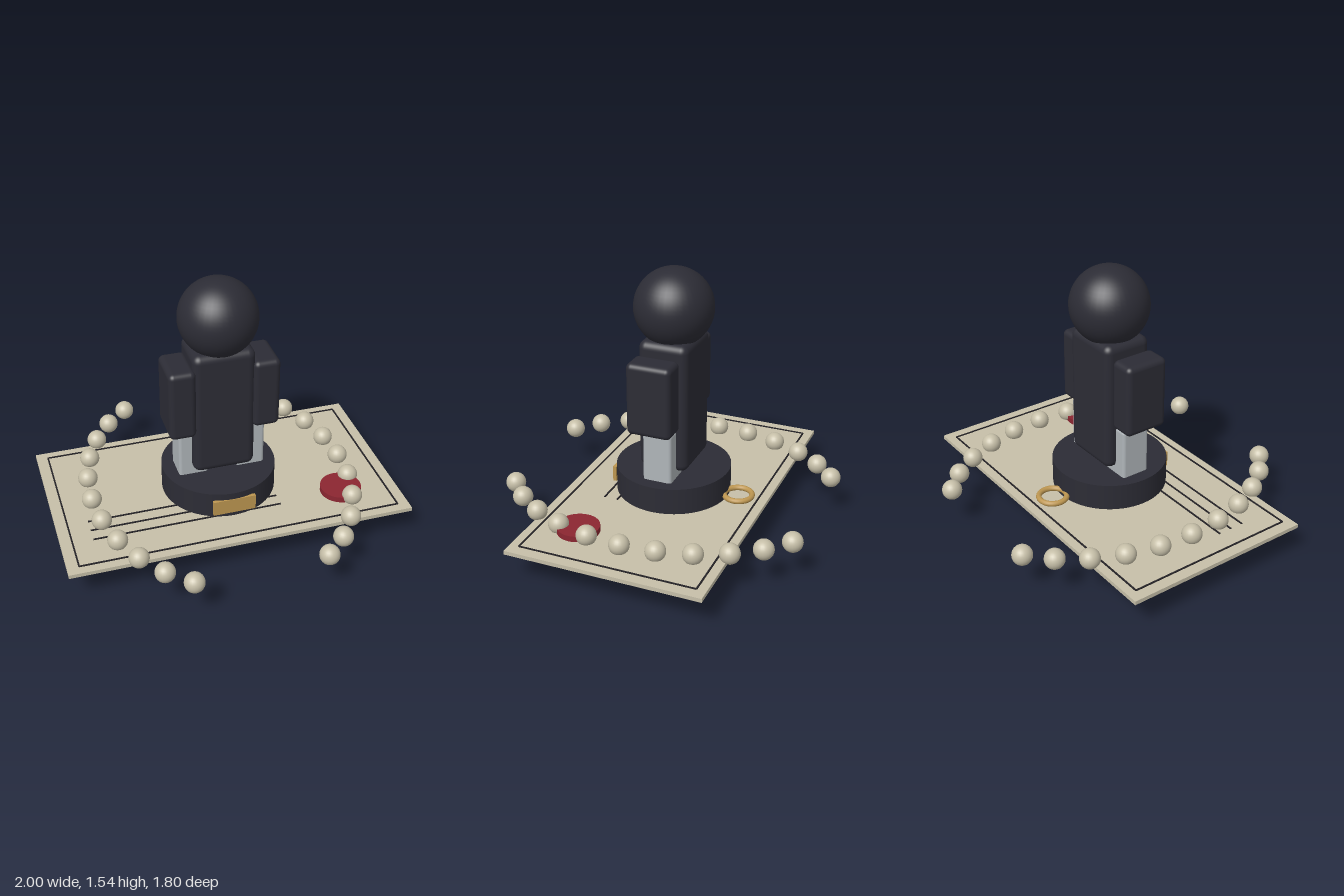
import * as THREE from 'three';
import { RoundedBoxGeometry } from 'three/addons/geometries/RoundedBoxGeometry.js';

export function createModel() {
  const root = new THREE.Group();
  root.name = 'figureOnCard';

  const mat = (name, color) => {
    const m = new THREE.MeshStandardMaterial({ color });
    m.name = name;
    return m;
  };
  const ivory = mat('ivory', 0xc6bfa8);
  const charcoal = mat('charcoal', 0x2c2c35);
  const brass = mat('brass', 0xbd9650);
  const crimson = mat('crimson', 0x8c2631);
  const silver = mat('silver', 0xafb5b9);
  const ink = mat('ink', 0x242226);

  const add = (name, geometry, material, x = 0, y = 0, z = 0) => {
    const mesh = new THREE.Mesh(geometry, material);
    mesh.name = name;
    mesh.position.set(x, y, z);
    root.add(mesh);
    return mesh;
  };
  const box = (w, h, d) => new THREE.BoxGeometry(w, h, d);
  const rod = (r, h, n = 32) => new THREE.CylinderGeometry(r, r, h, n);

  // Card with an inked border and three ruled lines
  const top = 0.198;
  add('card', box(2, 0.023, 1.13), ivory, 0, 0.1865, 0);
  for (const s of [-1, 1]) {
    add('borderLong', box(1.87, 0.005, 0.009), ink, 0, top + 0.0025, s * 0.51);
    add('borderShort', box(0.009, 0.005, 1.02), ink, s * 0.933, top + 0.0025, 0);
  }
  for (const z of [0.155, 0.235, 0.315]) {
    add('ruledLine', box(1.1, 0.005, 0.009), ink, -0.265, top + 0.0025, z);
  }

  // Wax seal
  add('seal', rod(0.12, 0.034, 40), crimson, 0.665, top + 0.017, 0.29);

  // Round plinth, front plaque and rear ring
  add('plinth', rod(0.333, 0.177, 64), charcoal, 0, 0.2665, 0);
  add('plaque', box(0.25, 0.092, 0.02), brass, 0, 0.268, 0.326);
  const ring = add('ring', new THREE.TorusGeometry(0.08, 0.016, 12, 40), brass, 0, 0.223, -0.4);
  ring.rotation.x = Math.PI / 2;

  // Standing figure: torso, head, arms and legs
  add('torso', new RoundedBoxGeometry(0.36, 0.765, 0.292, 5, 0.045), charcoal, 0, 0.772, 0);
  add('head', new THREE.SphereGeometry(0.225, 40, 28), charcoal, 0, 1.315, 0);
  for (const s of [-1, 1]) {
    add(s > 0 ? 'leftArm' : 'rightArm',
      new RoundedBoxGeometry(0.155, 0.425, 0.263, 5, 0.032), charcoal, s * 0.2425, 0.8625, 0.026);
    add(s > 0 ? 'leftLeg' : 'rightLeg',
      new RoundedBoxGeometry(0.17, 0.32, 0.172, 4, 0.018), silver, s * 0.17, 0.49, 0);
  }
  add('supportRod', rod(0.008, 0.08, 12), brass, 0, 0.385, 0);

  // Underside: brass disc, cross bar and winding key
  add('bottomDisc', rod(0.31, 0.002, 64), brass, 0, 0.1745, 0);
  add('crossBar', box(0.37, 0.013, 0.022), silver, 0, 0.161, 0);
  add('keyShaft', rod(0.013, 0.16, 20), brass, 0, 0.1, 0);
  const grip = add('keyGrip', new THREE.CapsuleGeometry(0.022, 0.196, 8, 20), brass, 0, 0.022, 0);
  grip.rotation.z = Math.PI / 2;

  // Beads on two open arcs of an ellipse
  const bead = new THREE.SphereGeometry(0.058, 24, 16);
  for (const s of [-1, 1]) {
    for (let i = -5; i <= 5; i++) {
      const a = (i * Math.PI) / 15;
      add('bead', bead, ivory, s * 0.76 * Math.cos(a), 0.234, 0.973 * Math.sin(a));
    }
  }
  return root;
}
